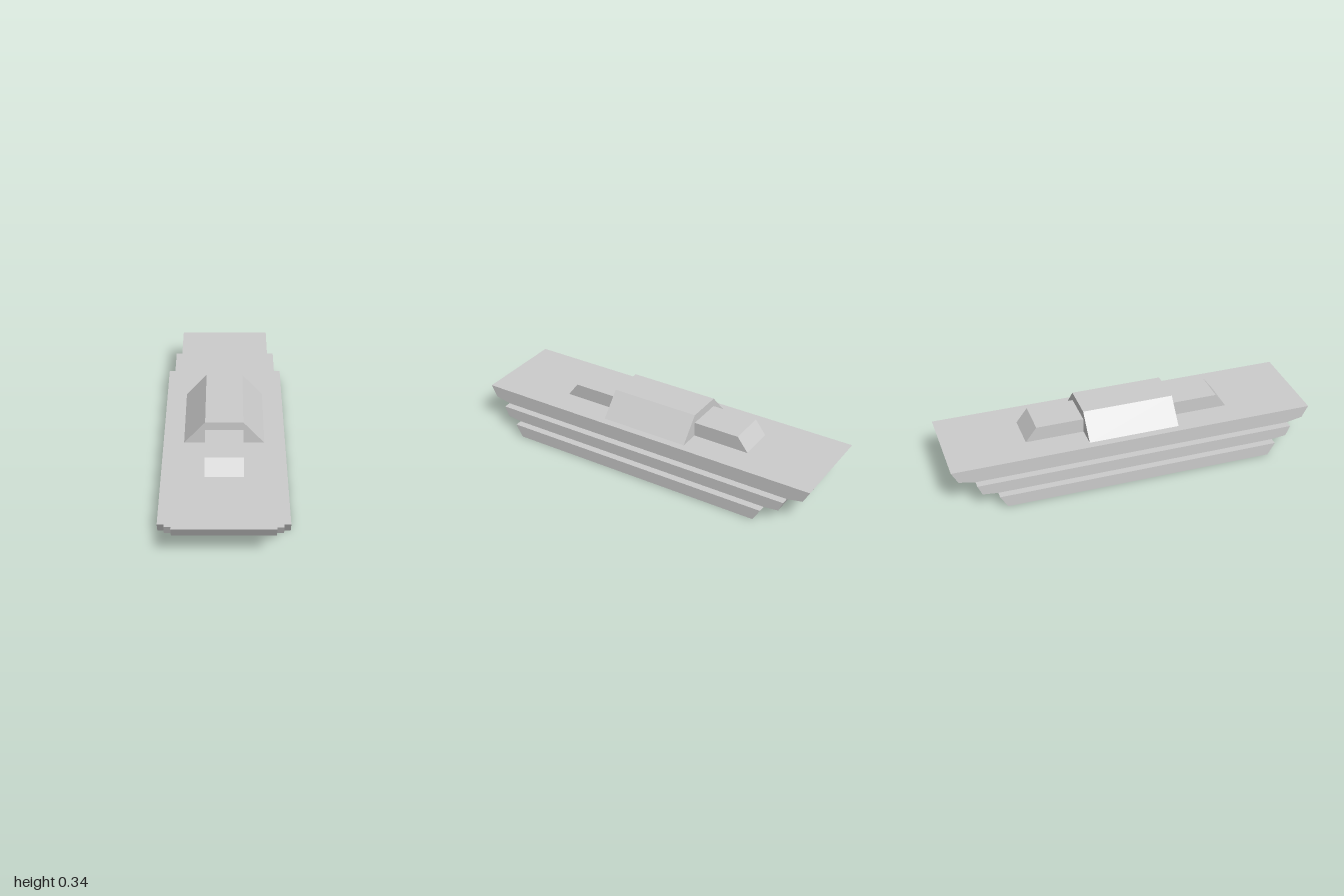
import * as THREE from 'three';

const material = new THREE.MeshStandardMaterial({ color: 0xcccccc, flatShading: true });

// Mirrored profile from [half extent, height] pairs, listed bottom to top, extruded about its middle
function prism(name, half, depth, alongX) {
  const left = half.map(([u, v]) => [-u, v]).reverse();
  const shape = new THREE.Shape([...half, ...left].map(([u, v]) => new THREE.Vector2(u, v)));
  const geometry = new THREE.ExtrudeGeometry(shape, { depth, bevelEnabled: false });
  geometry.translate(0, 0, -depth / 2);
  if (alongX) geometry.rotateY(-Math.PI / 2);
  const mesh = new THREE.Mesh(geometry, material);
  mesh.name = name;
  return mesh;
}

export function createModel() {
  const group = new THREE.Group();
  group.name = 'steppedHull';

  // Three hull tiers: each is longer and narrower than the one below
  group.add(
    prism('lowerHull', [[0.732, 0], [0.772, 0.067]], 0.67, true),
    prism('middleHull', [[0.772, 0.067], [0.853, 0.076], [0.878, 0.131]], 0.59, true),
    prism('upperHull', [[0.878, 0.131], [0.965, 0.148], [1, 0.212]], 0.508, true)
  );

  // Low deckhouse with sloping ends, running through the cabin
  group.add(prism('deckhouse', [[0.568, 0.212], [0.508, 0.291]], 0.2, true));

  // Central cabin with sloping sides
  group.add(prism('cabin', [[0.212, 0.212], [0.1, 0.338]], 0.5, false));

  return group;
}
